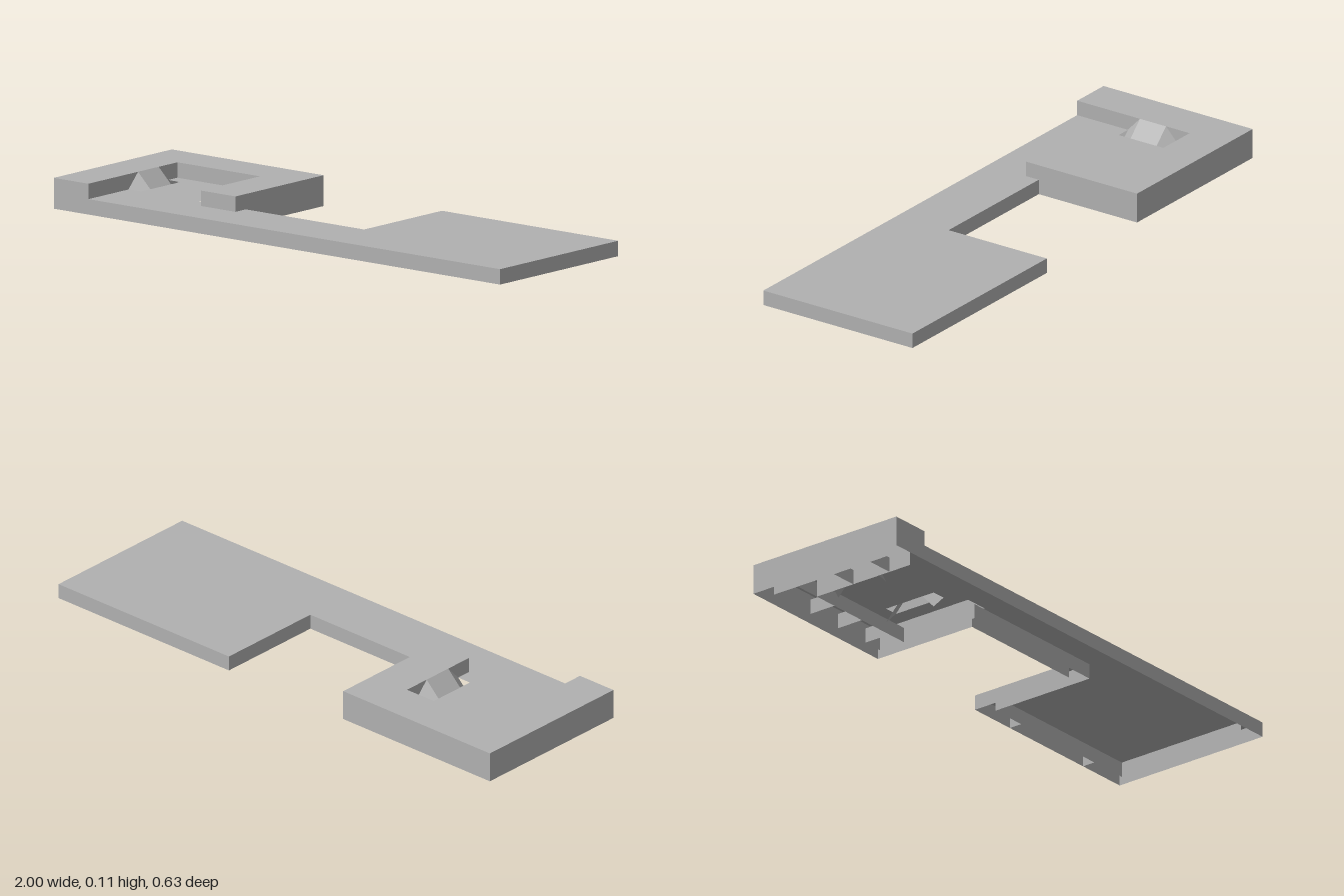
import * as THREE from 'three';

const HIGH = 0.108, LOW = 0.054;
const grey = new THREE.MeshStandardMaterial({ color: 0xb0b0b0, side: THREE.DoubleSide });
grey.name = 'plain grey';

// Horizontal sheet from an x/z outline, facing up
function sheet(name, outline, y, holes = []) {
  const toPts = (o) => o.map(([x, z]) => new THREE.Vector2(x, -z));
  const shape = new THREE.Shape(toPts(outline));
  holes.forEach((h) => shape.holes.push(new THREE.Path(toPts(h))));
  const mesh = new THREE.Mesh(new THREE.ShapeGeometry(shape).rotateX(-Math.PI / 2).translate(0, y, 0), grey);
  mesh.name = name;
  return mesh;
}

// Flat-shaded quads, each given by four corners
function quads(name, list) {
  const pos = [];
  list.forEach(([a, b, c, d]) => pos.push(...a, ...b, ...c, ...a, ...c, ...d));
  const geo = new THREE.BufferGeometry();
  geo.setAttribute('position', new THREE.Float32BufferAttribute(pos, 3));
  geo.computeVertexNormals();
  const mesh = new THREE.Mesh(geo, grey);
  mesh.name = name;
  return mesh;
}

// Upright wall along an x/z path
function wall(name, path, y0, y1) {
  const list = [];
  for (let i = 0; i < path.length - 1; i++) {
    const [ax, az] = path[i], [bx, bz] = path[i + 1];
    list.push([[ax, y0, az], [bx, y0, bz], [bx, y1, bz], [ax, y1, az]]);
  }
  return quads(name, list);
}

export function createModel() {
  const model = new THREE.Group();
  model.name = 'steppedTray';
  const F = 0.315, B = -0.315;

  // Pocket outline where the raised rim meets the deck
  const pocket = [[-0.845, F], [-0.845, -0.16], [-0.475, -0.16], [-0.475, 0.155], [-0.32, 0.155]];

  // Top surfaces; the deck has a slot for each clip
  const slots = [[-0.845, -0.79], [-0.475, -0.53]];
  model.add(sheet('raisedRim', [[-1, F], ...pocket, [-0.32, B], [-1, B]], HIGH));
  model.add(sheet('deck',
    [...pocket, [-0.32, 0.1], [0.21, 0.1], [0.21, B], [1, B], [1, F]], LOW,
    slots.map(([a, b]) => {
      const e = Math.sign(b - a) * 0.0005;
      return [[a + e, -0.11], [b, -0.11], [b, 0.1], [a + e, 0.1]];
    })));

  // Outer skirt and pocket sides
  model.add(wall('rimSkirt', [[-0.845, F], [-1, F], [-1, B], [-0.32, B], [-0.32, 0.1]], 0, HIGH));
  model.add(wall('deckSkirt', [[-0.32, 0.1], [0.21, 0.1], [0.21, B], [1, B], [1, F], [-0.845, F]], 0, LOW));
  model.add(wall('pocketWall', [...pocket, [-0.32, 0.1]], LOW, HIGH));

  // Sloping clips that drop from the pocket wall through the deck
  slots.forEach(([wallX, tipX], i) => {
    const profile = [[-0.11, -0.053], [-0.06, 0], [0.05, 0], [0.1, -0.053]];
    const at = (x, [z, dy]) => [x, (x === wallX ? HIGH : LOW) + dy, z];
    const faces = [];
    for (let k = 0; k < 3; k++) {
      const f = [at(wallX, profile[k]), at(wallX, profile[k + 1]), at(tipX, profile[k + 1]), at(tipX, profile[k])];
      faces.push(i ? f.reverse() : f);
    }
    model.add(quads(i ? 'leftClip' : 'rightClip', faces));
  });

  // Stiffening ribs under the deck and rim
  const ribs = new THREE.Group();
  ribs.name = 'undersideRibs';
  ribs.add(wall('deckRib', [[0.95, 0.26], [0.95, -0.265], [0.26, -0.265], [0.26, 0.15], [-0.37, 0.15]], 0, LOW));
  ribs.add(wall('pocketRib', [[-0.845, 0.25], [-0.845, -0.16], [-0.37, -0.16]], 0, LOW));
  ribs.add(wall('rimRib', [[-0.95, 0.26], [-0.95, -0.265], [-0.37, -0.265], [-0.37, 0.15]], 0, LOW));

  // Short cross ribs
  for (const z of [-0.16, 0, 0.16]) ribs.add(wall('crossRib', [[-0.95, z], [-0.845, z]], 0, LOW));
  for (const x of [-0.75, -0.6, -0.45]) ribs.add(wall('crossRib', [[x, -0.265], [x, -0.16]], 0, LOW));
  for (const x of [0.4, 0.8]) ribs.add(wall('crossRib', [[x, B], [x, -0.265]], 0, LOW));
  model.add(ribs);
  return model;
}
